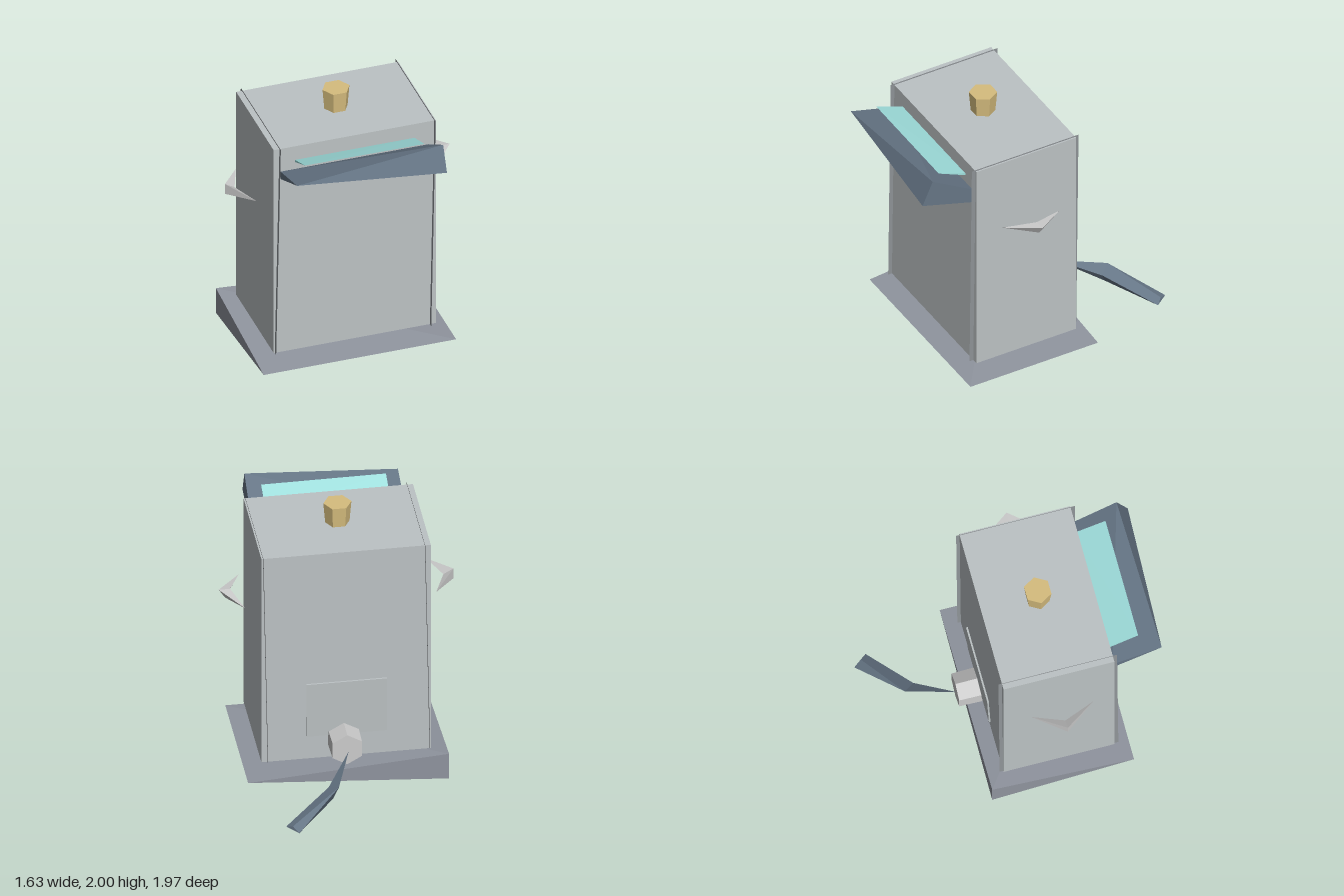
import * as THREE from 'three';
import { ConvexGeometry } from 'three/addons/geometries/ConvexGeometry.js';

const mat = (color) => new THREE.MeshStandardMaterial({ color, flatShading: true, side: THREE.DoubleSide });
const GREY = mat(0xcccccc);
const CASING = mat(0xbcc2c4);
const BASE = mat(0x8f949e);
const TRIM = mat(0x8f9498);
const BLUE = mat(0x667686);
const TEAL = mat(0xa0e0de);
const BRASS = mat(0xd6bd7e);

export function createModel() {
  const model = new THREE.Group();

  const add = (name, geometry, material, parent = model) => {
    const mesh = new THREE.Mesh(geometry, material);
    mesh.name = name;
    parent.add(mesh);
    return mesh;
  };
  // Faceted solid around a few corner points
  const hull = (points) => new ConvexGeometry(points.map((p) => new THREE.Vector3(...p)));

  // Wedge-shaped base, thick only at its back corner
  add('base', hull([
    [-0.71, 0, -0.31], [-0.71, 0.2, -0.31],
    [0.69, 0.1, -0.31], [0.69, 0.1, 0.7], [-0.71, 0.1, 0.7],
  ]), BASE);

  // Main casing
  add('casing', new THREE.BoxGeometry(1.18, 1.655, 0.79), CASING).position.set(-0.01, 1.0175, 0.195);

  // Thin slanted side sheets that stand proud at front and back
  for (const [name, xBottom, xTop] of [['rightTrim', -0.592, -0.558], ['leftTrim', 0.537, 0.569]]) {
    const sheet = new THREE.PlaneGeometry(0.845, 1.665);
    sheet.rotateY(Math.PI / 2);
    const p = sheet.attributes.position;
    for (let i = 0; i < p.count; i++) p.setX(i, p.getY(i) > 0 ? xTop : xBottom);
    sheet.computeVertexNormals();
    add(name, sheet, TRIM).position.set(0, 1.0225, 0.1975);
  }

  // Tilted console and its display
  add('console', hull([
    [-0.55, 1.755, 0.94], [0.525, 1.845, 0.905], [0.525, 1.665, 0.985],
    [-0.55, 1.6, 0.59], [-0.1, 1.55, 0.59], [0.525, 1.55, 0.59],
    [-0.55, 1.66, 0.59], [0.525, 1.66, 0.59],
  ]), BLUE);
  add('display', hull([
    [-0.445, 1.815, 0.8], [0.425, 1.81, 0.8],
    [-0.445, 1.73, 0.58], [0.425, 1.73, 0.58],
    [-0.445, 1.712, 0.58], [0.425, 1.712, 0.58],
  ]), TEAL);

  // Six-sided cap
  const cap = add('cap', new THREE.CylinderGeometry(0.098, 0.085, 0.155, 6), BRASS);
  cap.position.set(-0.012, 1.9225, 0.2);
  cap.rotation.y = Math.PI / 2;

  // Bent side handles: two spikes meeting at a triangular middle
  const handles = {
    leftHandle: {
      middle: [[0.815, 1.368, 0.2], [0.735, 1.368, 0.2], [0.77, 1.3, 0.2]],
      tips: [[0.665, 1.34, -0.02], [0.64, 1.34, 0.42]],
    },
    rightHandle: {
      middle: [[-0.82, 1.38, 0.2], [-0.82, 1.3, 0.2], [-0.75, 1.34, 0.2]],
      tips: [[-0.665, 1.34, -0.02], [-0.665, 1.34, 0.42]],
    },
  };
  for (const [name, { middle, tips }] of Object.entries(handles)) {
    const handle = new THREE.Group();
    handle.name = name;
    model.add(handle);
    tips.forEach((tip) => add('handleArm', hull([...middle, tip]), GREY, handle));
  }

  // Rear access panel
  const panel = add('rearPanel', new THREE.BoxGeometry(0.56, 0.43, 0.012), CASING);
  panel.position.set(-0.01, 0.595, -0.222);
  panel.rotation.x = -0.03;

  // Hose fitting
  const fitting = add('hoseFitting', new THREE.CylinderGeometry(0.118, 0.122, 0.19, 6), GREY);
  fitting.rotation.x = -Math.PI / 2;
  fitting.position.set(0.01, 0.348, -0.285);

  // Hose, widening from a point and bending to the ground
  const start = [[0, 0.33, -0.375]];
  const bend = [[0.12, 0.26, -0.71], [0.18, 0.22, -0.635], [0.155, 0.145, -0.67]];
  const end = [[0.44, 0.09, -0.985], [0.515, 0.09, -0.885], [0.475, 0.115, -0.93]];
  const hose = new THREE.Group();
  hose.name = 'hose';
  model.add(hose);
  add('hoseUpper', hull([...start, ...bend]), BLUE, hose);
  add('hoseLower', hull([...bend, ...end]), BLUE, hose);

  return model;
}
